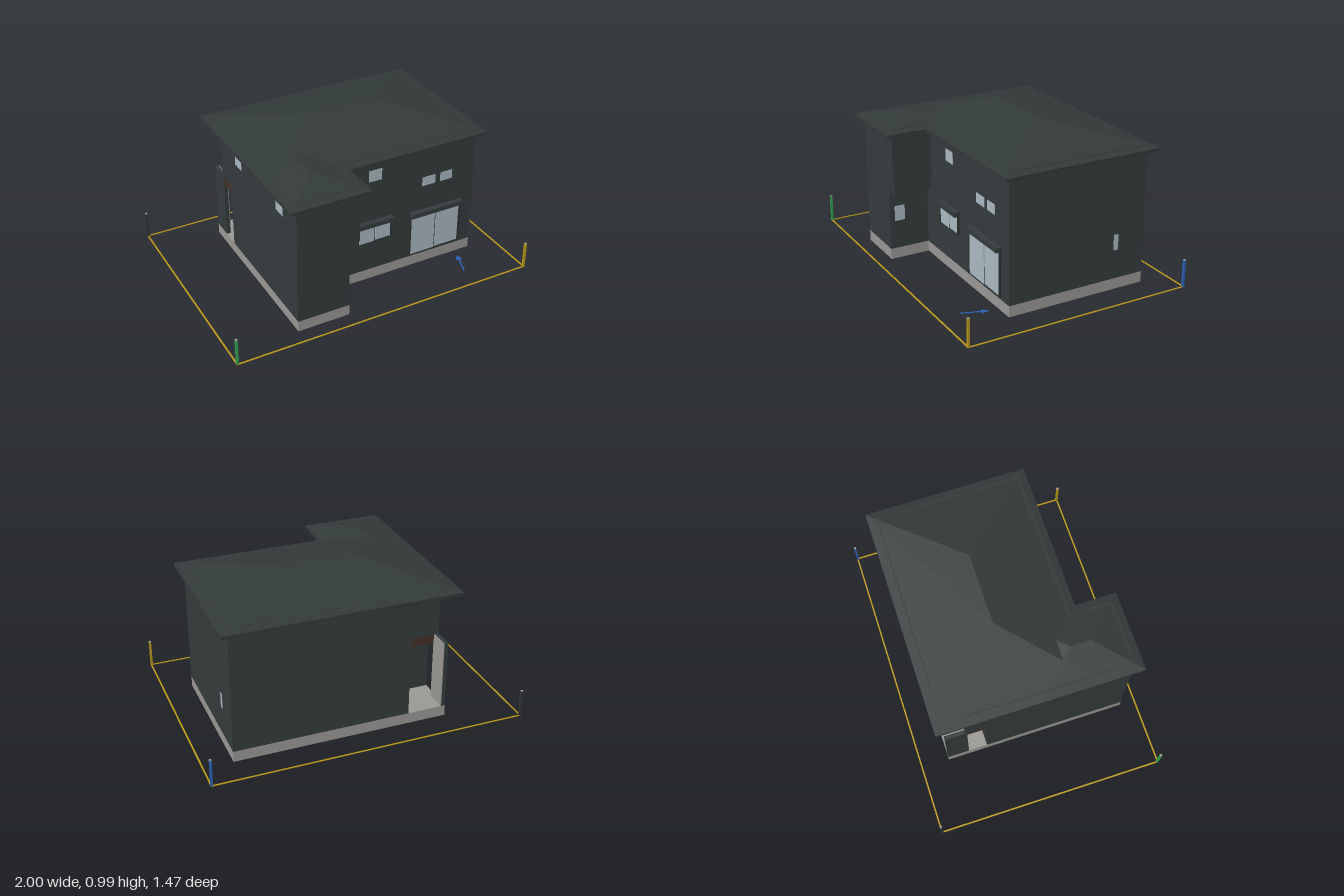
import * as THREE from 'three';

const mat = (name, color) => {
  const m = new THREE.MeshStandardMaterial({ color });
  m.name = name;
  return m;
};

// Moves every corner of a right-angled outline inward by d
function inset(pts, d) {
  const n = pts.length;
  const normal = (a, b) => {
    const dx = b[0] - a[0], dz = b[1] - a[1], l = Math.hypot(dx, dz);
    return [dz / l, -dx / l];
  };
  return pts.map((p, i) => {
    const n1 = normal(pts[(i + n - 1) % n], p), n2 = normal(p, pts[(i + 1) % n]);
    return [p[0] + d * (n1[0] + n2[0]), p[1] + d * (n1[1] + n2[1])];
  });
}

// Raises a floor outline of [x, z] points from y0 to y1
function prism(pts, y0, y1, hole) {
  const vec = (list) => list.map(([x, z]) => new THREE.Vector2(x, -z));
  const shape = new THREE.Shape(vec(pts));
  if (hole) shape.holes.push(new THREE.Path(vec(hole)));
  const g = new THREE.ExtrudeGeometry(shape, { depth: y1 - y0, bevelEnabled: false });
  return g.rotateX(-Math.PI / 2).translate(0, y0, 0);
}

// Hip roof with equal pitch on all four sides
function hip(x0, x1, z0, z1, y, pitch) {
  const w = x1 - x0, d = z1 - z0, r = Math.min(w, d) / 2, top = y + r * pitch;
  const a = [x0, y, z1], b = [x1, y, z1], c = [x1, y, z0], e = [x0, y, z0];
  const p = [x0 + r, top, w > d ? z0 + r : z1 - r];
  const q = [x1 - r, top, z0 + r];
  const tris = w > d
    ? [a, b, q, a, q, p, b, c, q, c, e, p, c, p, q, e, a, p]
    : [a, b, p, b, c, q, b, q, p, c, e, q, e, a, p, e, p, q];
  const g = new THREE.BufferGeometry();
  g.setAttribute('position', new THREE.Float32BufferAttribute(tris.flat(), 3));
  g.computeVertexNormals();
  return g;
}

export function createModel() {
  const house = new THREE.Group();
  house.name = 'house';

  const wall = mat('charcoal wall', 0x343b3c);
  const roof = mat('charcoal roof', 0x323a39);
  const stone = mat('grey concrete', 0x999794);
  const glass = mat('pale glass', 0xa9b8c1);
  const trim = mat('dark frame', 0x2a3031);
  const brown = mat('dark brown', 0x46302a);
  const yellow = mat('boundary yellow', 0xb8961a);
  const green = mat('marker green', 0x2fa050);
  const blue = mat('marker blue', 0x2a62b8);
  const black = mat('marker black', 0x333333);

  const add = (name, geometry, material) => {
    const m = new THREE.Mesh(geometry, material);
    m.name = name;
    house.add(m);
  };
  // Box given by its limits on each axis
  const box = (name, material, x0, x1, y0, y1, z0, z1) => {
    const g = new THREE.BoxGeometry(x1 - x0, y1 - y0, z1 - z0);
    add(name, g.translate((x0 + x1) / 2, (y0 + y1) / 2, (z0 + z1) / 2), material);
  };

  // Floor outlines: the upper floor overhangs the lower one at the wing and porch
  const base = [[-0.56, 0.63], [-0.22, 0.63], [-0.22, 0.37], [0.81, 0.37],
    [0.81, -0.55], [-0.56, -0.55]];
  const lower = [...base.slice(0, 5), [-0.31, -0.55], [-0.31, -0.29], [-0.56, -0.29]];
  const upper = [[-0.56, 0.63], [-0.155, 0.63], [-0.155, 0.37], [0.81, 0.37],
    [0.81, -0.55], [-0.31, -0.55], [-0.31, -0.42], [-0.56, -0.42]];

  // Foundation ring, floor and walls; the wall tops just break through the roof
  add('foundation', prism(base, 0, 0.07, inset(base, 0.024)), stone);
  add('floor', prism(inset(lower, 0.024), 0.05, 0.072), brown);
  add('lowerWalls', prism(lower, 0.07, 0.51), wall);
  add('upperWalls', prism(upper, 0.51, 0.88), wall);
  box('wingOverhangBeam', wall, -0.22, -0.165, 0.45, 0.51, 0.37, 0.62);

  // Porch in the rear corner, its slab running on into the entrance
  box('porchSlab', stone, -0.54, -0.31, 0.03, 0.068, -0.53, -0.13);
  box('porchBeam', brown, -0.555, -0.31, 0.45, 0.51, -0.415, -0.29);
  box('porchCeiling', brown, -0.56, -0.31, 0.839, 0.845, -0.55, -0.42);
  box('porchScreen', wall, -0.56, -0.535, 0.07, 0.51, -0.55, -0.41);
  box('porchScreenLining', stone, -0.535, -0.53, 0.07, 0.51, -0.548, -0.412);

  // Main roof and wing roof on one flat eave slab
  const pitch = 0.245;
  const eaves = [[-0.615, 0.68], [-0.105, 0.68], [-0.105, 0.42], [0.86, 0.42],
    [0.86, -0.605], [-0.615, -0.605]];
  add('eaves', prism(eaves, 0.845, 0.865), roof);
  add('mainRoof', hip(-0.615, 0.86, -0.605, 0.42, 0.865, pitch), roof);
  add('wingRoof', hip(-0.615, -0.105, 0.045, 0.68, 0.865, pitch), roof);

  // Small front windows: x0, x1, y0, y1
  for (const [x0, x1, y0, y1] of [[0.05, 0.14, 0.705, 0.782],
    [0.43, 0.525, 0.57, 0.632], [0.56, 0.647, 0.57, 0.632]]) {
    box('frontWindow', glass, x0, x1, y0, y1, 0.366, 0.3715);
  }

  // Sliding windows with frame, two panes and shutter box
  const slider = (x0, x1, y0, y1, head) => {
    const mid = (x0 + x1) / 2;
    box('slidingFrame', trim, x0, x1, y0, y1 + 0.01, 0.368, 0.374);
    for (const x of [x0, x1 - 0.008]) box('slidingJamb', trim, x, x + 0.008, y0, y1 + 0.01, 0.37, 0.382);
    box('slidingPaneOuter', glass, x0 + 0.008, mid - 0.003, y0 + 0.005, y1, 0.372, 0.379);
    box('slidingPaneInner', glass, mid + 0.005, x1 - 0.01, y0 + 0.008, y1 - 0.008, 0.371, 0.377);
    box('shutterBox', wall, x0 - 0.002, x1 + 0.002, y1 + 0.007, head, 0.368, 0.405);
  };
  slider(-0.025, 0.215, 0.275, 0.392, 0.43);
  slider(0.35, 0.72, 0.085, 0.363, 0.4);

  // Side windows
  box('wingSideWindow', glass, -0.224, -0.2185, 0.255, 0.355, 0.53, 0.598);
  box('rightSideWindow', glass, 0.806, 0.8115, 0.255, 0.355, -0.37, -0.338);
  for (const z of [-0.154, 0.414]) {
    box('leftSideWindow', glass, -0.5615, -0.556, 0.705, 0.785, z - 0.045, z + 0.045);
  }

  // Plot boundary lines and corner markers with pale caps
  for (const s of [-1, 1]) {
    box('boundaryLong', yellow, -1, 1, 0, 0.004, s * 0.73 - 0.005, s * 0.73 + 0.005);
    box('boundaryShort', yellow, s * 0.995 - 0.005, s * 0.995 + 0.005, 0, 0.004, -0.73, 0.73);
  }
  for (const [x, z, m] of [[-0.993, 0.728, green], [0.993, 0.728, yellow],
    [0.993, -0.728, blue], [-0.993, -0.728, black]]) {
    box('cornerMarker', m, x - 0.007, x + 0.007, 0, 0.176, z - 0.007, z + 0.007);
    box('cornerMarkerCap', stone, x - 0.007, x + 0.007, 0.176, 0.18, z - 0.007, z + 0.007);
  }

  // Entrance arrow lying on the ground, pointing at the house
  const arrow = new THREE.Shape([[-0.004, 0], [0.004, 0], [0.004, 0.122], [0.022, 0.122],
    [0, 0.17], [-0.022, 0.122], [-0.004, 0.122]].map(([x, y]) => new THREE.Vector2(x, y)));
  const arrowGeo = new THREE.ExtrudeGeometry(arrow, { depth: 0.004, bevelEnabled: false });
  arrowGeo.rotateX(-Math.PI / 2).rotateY(-0.33).translate(0.635, 0, 0.59);
  add('groundArrow', arrowGeo, blue);

  return house;
}
